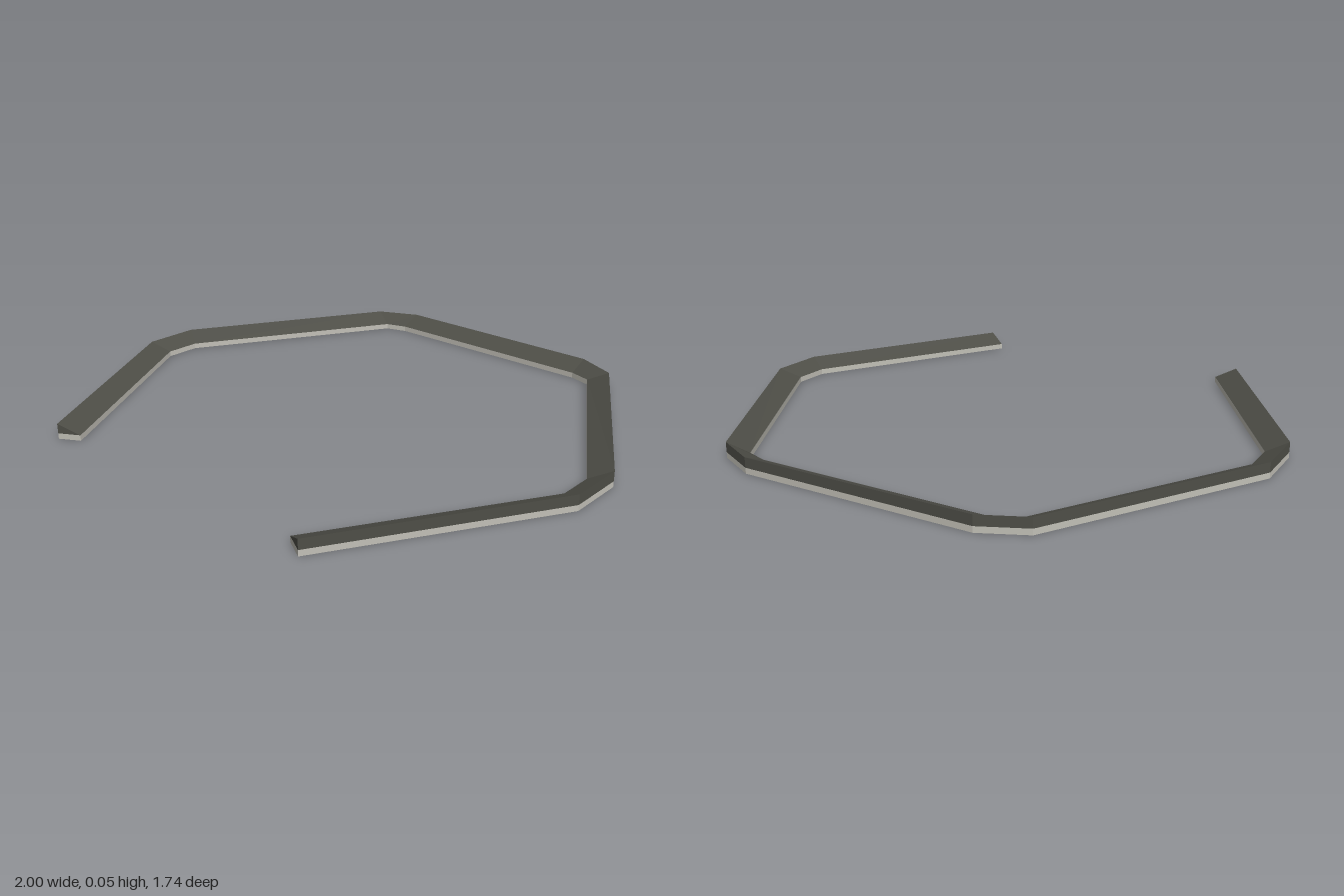
import * as THREE from 'three';

const MID = 0.02, TOP = 0.055;

// Half plan of the kerb [x, z], from the front tip round to the back
const outerHalf = [[0.57, 0.865], [1, 0.135], [1, -0.07], [0.57, -0.8], [0.42, -0.87]];
const innerHalf = [[0.5, 0.825], [0.93, 0.1], [0.93, -0.03], [0.5, -0.765], [0.42, -0.79]];
const mirrored = (half) => [...half, ...half.map(([x, z]) => [-x, z]).reverse()];

// Flat-shaded geometry from convex corner loops
function faces(loops) {
  const pos = [];
  for (const loop of loops) {
    for (let i = 1; i < loop.length - 1; i++) pos.push(...loop[0], ...loop[i], ...loop[i + 1]);
  }
  const geometry = new THREE.BufferGeometry();
  geometry.setAttribute('position', new THREE.Float32BufferAttribute(pos, 3));
  geometry.computeVertexNormals();
  return geometry;
}

// Quads joining two rows of points
const strip = (a, b) => a.slice(1).map((p, i) => [a[i], p, b[i + 1], b[i]]);

export function createModel() {
  const group = new THREE.Group();
  const dark = new THREE.MeshStandardMaterial({ color: 0x4e4e47, side: THREE.DoubleSide });
  dark.name = 'dark grey';
  const pale = new THREE.MeshStandardMaterial({ color: 0xc2c0b7, side: THREE.DoubleSide });
  pale.name = 'pale grey';

  const row = (plan, y) => plan.map(([x, z]) => [x, y, z]);
  const outer = mirrored(outerHalf), inner = mirrored(innerHalf);
  const outBase = row(outer, 0), outMid = row(outer, MID), outTop = row(outer, TOP);
  const inBase = row(inner, 0), inMid = row(inner, MID);
  const last = outer.length - 1;

  const add = (name, loops, material) => {
    const mesh = new THREE.Mesh(faces(loops), material);
    mesh.name = name;
    group.add(mesh);
  };

  // Pale skirt, open underneath
  add('outerSkirt', strip(outBase, outMid), pale);
  add('innerSkirt', strip(inMid, inBase), pale);
  add('skirtEnds', [
    [inBase[0], outBase[0], outMid[0], inMid[0]],
    [outBase[last], inBase[last], inMid[last], outMid[last]],
  ], pale);

  // Dark outer wall and top sloping down to the inside
  add('outerWall', strip(outMid, outTop), dark);
  add('slopedTop', strip(outTop, inMid), dark);
  add('wedgeEnds', [
    [inMid[0], outMid[0], outTop[0]],
    [outMid[last], inMid[last], outTop[last]],
  ], dark);

  return group;
}
